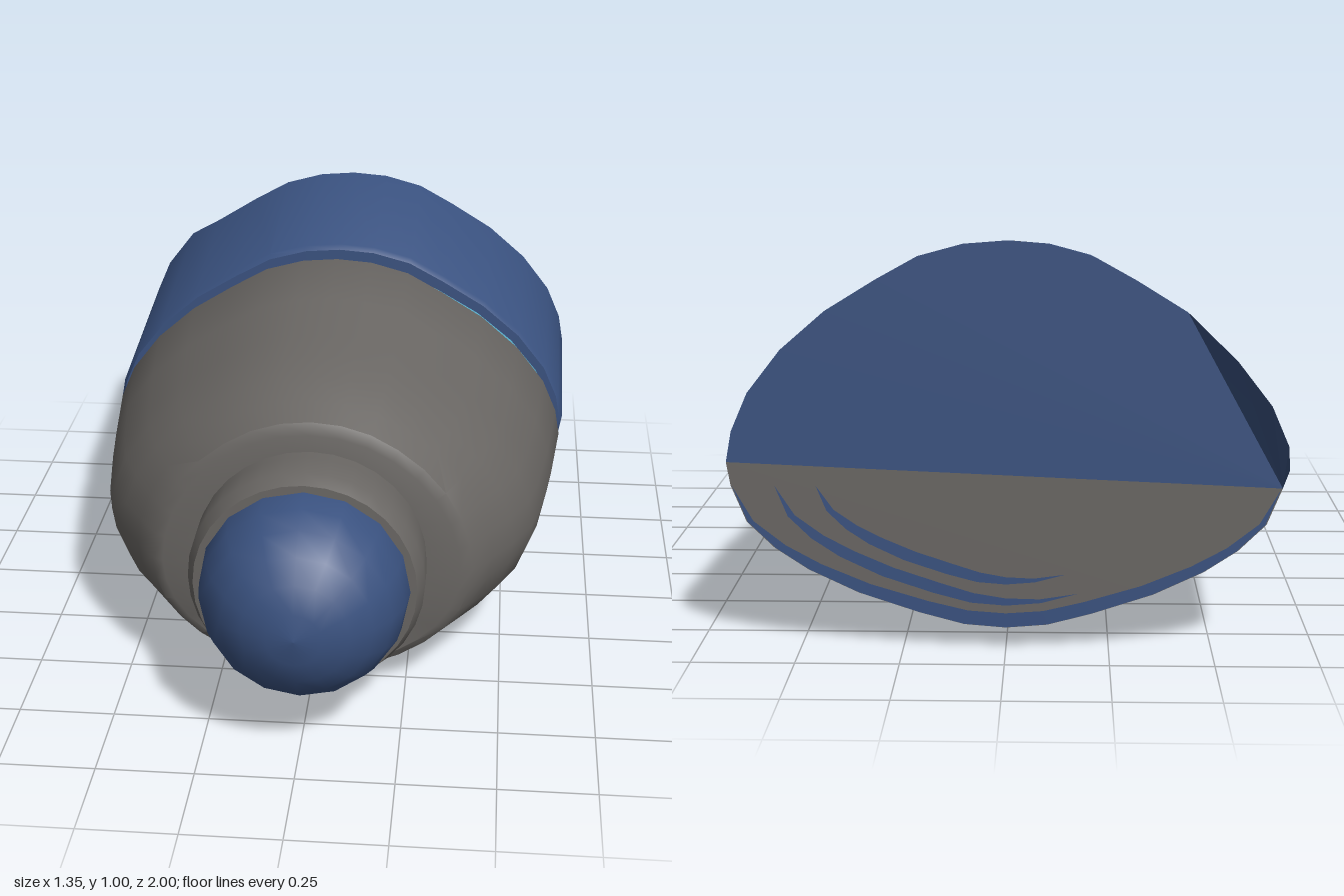
import * as THREE from 'three';
import { toCreasedNormals } from 'three/addons/utils/BufferGeometryUtils.js';

const mat = (name, color, side = THREE.FrontSide) => {
  const m = new THREE.MeshStandardMaterial({ color, side });
  m.name = name;
  return m;
};

// Half of the rounded-triangle section, top to bottom: [x, y] relative to the widest point
const HALF = [
  [0, 1], [0.15, 0.985], [0.31, 0.93], [0.46, 0.825], [0.64, 0.685], [0.8, 0.51], [0.92, 0.315], [0.98, 0.14],
  [1, 0], [0.985, -0.14], [0.93, -0.36], [0.83, -0.52], [0.71, -0.65], [0.53, -0.79], [0.31, -0.91], [0.15, -0.98], [0, -1],
];
const N = 32;

// One ring; round blends the section towards an ellipse
function ring(z, halfWidth, top, bottom, round = 0) {
  const mid = bottom + (top - bottom) * 0.4 + 0.03;
  return Array.from({ length: N }, (_, i) => {
    const k = i <= 16 ? i : N - i;
    const a = (k / 16) * Math.PI;
    const x = THREE.MathUtils.lerp(HALF[k][0], Math.sin(a), round) * (i <= 16 ? 1 : -1);
    const y = THREE.MathUtils.lerp(HALF[k][1], Math.cos(a), round);
    return new THREE.Vector3(x * halfWidth, mid + y * (y > 0 ? top - mid : mid - bottom), z);
  });
}

function fromTriangles(points, crease = 0.6) {
  const g = new THREE.BufferGeometry().setFromPoints(points);
  return toCreasedNormals(g, crease);
}

// Skin between rings listed from front to back
function loft(rings) {
  const p = [];
  for (let r = 0; r < rings.length - 1; r++) {
    const a = rings[r], b = rings[r + 1];
    for (let i = 0; i < N; i++) {
      const j = (i + 1) % N;
      p.push(a[i], a[j], b[i], a[j], b[j], b[i]);
    }
  }
  return fromTriangles(p);
}

// Convex face as a fan
function face(points) {
  const p = [];
  for (let i = 1; i < points.length - 1; i++) p.push(points[0], points[i], points[i + 1]);
  return fromTriangles(p, 0.1);
}

export function createModel() {
  const group = new THREE.Group();
  const grey = mat('warm grey', 0x696663);
  const blue = mat('navy blue', 0x3a5280);
  const cyan = mat('light blue', 0x58b0cd);
  const blueThin = mat('navy blue', 0x3a5280, THREE.DoubleSide);
  blueThin.color = blue.color;
  const add = (name, geometry, material) => {
    const m = new THREE.Mesh(geometry, material);
    m.name = name;
    group.add(m);
    return m;
  };

  // Grey main body, flat nosed at the front
  add('body', loft([
    ring(0.56, 0.2, 0.6, 0.2, 1),
    ring(0.565, 0.39, 0.74, 0.065, 0.85),
    ring(0.55, 0.42, 0.77, 0.045, 0.75),
    ring(0.48, 0.47, 0.8, 0.03, 0.55),
    ring(0.4, 0.525, 0.83, 0.015, 0.38),
    ring(0.3, 0.575, 0.853, 0.007, 0.22),
    ring(0.2, 0.6, 0.868, 0.003, 0.12),
    ring(0, 0.63, 0.898, 0.003, 0.03),
    ring(-0.235, 0.655, 0.931, 0.012),
    ring(-0.25, 0.65, 0.925, 0.02),
    ring(-0.255, 0.61, 0.87, 0.08),
  ]), grey);

  // Recessed light band
  add('band', loft([ring(-0.24, 0.632, 0.897, 0.06), ring(-0.33, 0.632, 0.897, 0.06)]), cyan);

  // Rear shell, its back edge drawn out to a fin on one side
  const rear = ring(-0.87, 0.675, 1, 0.055);
  rear.forEach((p) => { p.z = -0.86 - 0.015 * (1 - p.y); });
  [25, 26, 27].forEach((i) => { rear[i].z = -1; });
  rear[24].z = -0.92;
  add('rearShell', loft([
    ring(-0.318, 0.61, 0.87, 0.08),
    ring(-0.32, 0.658, 0.93, 0.03),
    ring(-0.335, 0.666, 0.942, 0.022),
    rear,
  ]), blueThin);

  // Rear faces: blue above, grey below, blue inside the fin
  add('rearUpperFace', face([rear[23], rear[28], rear[29], rear[30], rear[31], ...rear.slice(0, 9)]), blueThin);
  add('rearLowerFace', face(rear.slice(8, 24)), grey);
  add('finInside', face(rear.slice(23, 29)), blueThin);

  // Blue arcs on the lower rear face, tapering to their ends
  const arc = (name, from, to, outer, width) => {
    const p = [];
    const at = (i, s) => new THREE.Vector3(rear[i].x * s, 0.41 + (rear[i].y - 0.41) * s, rear[i].z - 0.004);
    const inner = (i) => outer - width * Math.sin(((i - from) / (to - from)) * Math.PI);
    for (let i = from; i < to; i++) {
      p.push(at(i, outer), at(i + 1, outer), at(i, inner(i)));
      p.push(at(i + 1, outer), at(i + 1, inner(i + 1)), at(i, inner(i)));
    }
    add(name, fromTriangles(p), blueThin);
  };
  arc('rearRimArc', 9, 23, 0.995, 0.1);
  arc('rearOuterArc', 9, 18, 0.84, 0.08);
  arc('rearInnerArc', 9, 18, 0.69, 0.08);

  // Round collar and domed nose
  const lathe = (points, segments) => {
    const g = new THREE.LatheGeometry(points.map(([r, z]) => new THREE.Vector2(r, z)), segments);
    return g.rotateX(Math.PI / 2).translate(0, 0.393, 0);
  };
  add('collar', toCreasedNormals(
    lathe([[0.3, 0.54], [0.303, 0.6], [0.303, 0.69], [0.285, 0.728], [0.25, 0.73]], 32), 0.6), grey);
  const dome = Array.from({ length: 7 }, (_, i) => {
    const a = (i / 6) * Math.PI / 2;
    return [0.268 * Math.cos(a), 0.732 + 0.268 * Math.sin(a)];
  });
  add('nose', lathe([[0.268, 0.7], ...dome], 16), blue);

  return group;
}
